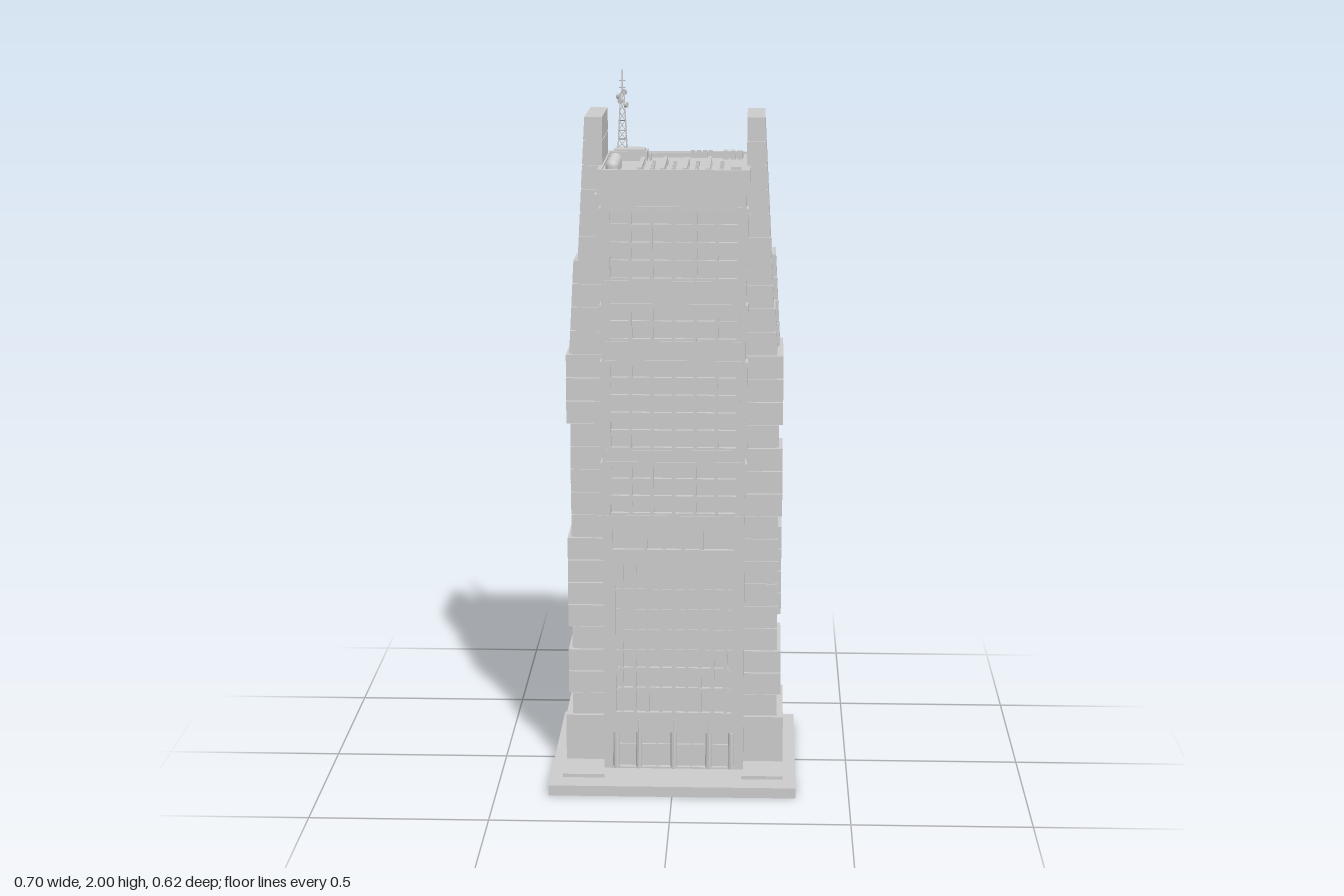
import * as THREE from 'three';

const mat = new THREE.MeshStandardMaterial({ color: 0xcccccc, flatShading: true });
const smooth = new THREE.MeshStandardMaterial({ color: 0xcccccc });

function add(parent, name, geo, material = mat) {
  const m = new THREE.Mesh(geo, material);
  m.name = name;
  parent.add(m);
  return m;
}

// box given by its min and max on each axis
function box(parent, name, x0, x1, y0, y1, z0, z1) {
  const m = add(parent, name, new THREE.BoxGeometry(x1 - x0, y1 - y0, z1 - z0));
  m.position.set((x0 + x1) / 2, (y0 + y1) / 2, (z0 + z1) / 2);
  return m;
}

// straight round bar between two points
function bar(parent, name, a, b, r, sides = 6) {
  const p = new THREE.Vector3(...a), q = new THREE.Vector3(...b);
  const m = add(parent, name, new THREE.CylinderGeometry(r, r, p.distanceTo(q), sides));
  m.position.copy(p).add(q).multiplyScalar(0.5);
  m.quaternion.setFromUnitVectors(new THREE.Vector3(0, 1, 0), q.sub(p).normalize());
  return m;
}

// prism with a sloping outer side: x runs from xi to xb (bottom) or xt (top)
function slab(parent, name, xi, xb, xt, y0, y1, z0, z1) {
  const s = new THREE.Shape([[xi, y0], [xb, y0], [xt, y1], [xi, y1]].map(p => new THREE.Vector2(...p)));
  const m = add(parent, name, new THREE.ExtrudeGeometry(s, { depth: z1 - z0, bevelEnabled: false }));
  m.position.z = z0;
}

function hole(shape, x0, x1, y0, y1) {
  shape.holes.push(new THREE.Path([[x0, y0], [x0, y1], [x1, y1], [x1, y0]].map(p => new THREE.Vector2(...p))));
}

const ZONES = [[1.455, 4], [1.285, 2], [0.975, 5], [0.785, 3]];   // window bands: bottom, rows
const ROW = 0.05;

// facade skin with window openings, standing on z = 0 and facing +z
function facade(name, zones, curtain, louvre, entrance) {
  const g = new THREE.Group();
  g.name = name;
  const s = new THREE.Shape([[-0.2, 0.03], [0.2, 0.03], [0.2, 1.76], [-0.2, 1.76]].map(p => new THREE.Vector2(...p)));
  for (const [y, n] of zones) {
    for (let r = 0; r < n; r++) {
      for (let c = 0; c < 6; c++) {
        const x = (c - 2.5) * 0.06;
        hole(s, x - 0.025, x + 0.025, y + r * ROW + 0.007, y + r * ROW + 0.04);
      }
    }
    // ledges and corner bays framing each band
    box(g, 'windowLedge', -0.19, 0.19, y - 0.006, y, 0.014, 0.018);
    box(g, 'windowLedge', -0.19, 0.19, y + n * ROW, y + n * ROW + 0.006, 0.014, 0.018);
    for (let c = 0; c <= 6; c++) {
      box(g, 'windowPier', (c - 3) * 0.06 - 0.003, (c - 3) * 0.06 + 0.003, y, y + n * ROW, 0.014, 0.017);
    }
    for (const k of [-1, 1]) box(g, 'cornerBay', k * 0.199 - 0.007, k * 0.199 + 0.007, y, y + n * ROW, -0.05, 0.01);
  }
  // tall curtain wall with vertical fins
  const [c0, c1] = curtain;
  hole(s, -0.165, 0.165, c0, c1);
  for (let i = 0; i < 9; i++) {
    const x = (i - 4) * 0.037;
    box(g, 'curtainFin', x - 0.005, x + 0.005, c0, c1, 0, 0.011);
  }
  for (let y = c0 + 0.06; y < c1 - 0.02; y += 0.06) box(g, 'curtainRail', -0.165, 0.165, y, y + 0.006, 0, 0.005);
  // recessed louvre opening
  hole(s, -0.172, 0.172, louvre[0], louvre[1]);
  for (const x of [-0.08, -0.027, 0.027, 0.08]) box(g, 'louvrePost', x - 0.005, x + 0.005, louvre[0], louvre[1], 0, 0.012);
  if (entrance) {
    hole(s, -0.175, 0.175, 0.035, 0.14);
    for (const x of [-0.165, -0.1, 0, 0.1, 0.165]) bar(g, 'entranceColumn', [x, 0.03, 0.008], [x, 0.14, 0.008], 0.009, 12);
    for (const x of [-0.05, 0.05]) box(g, 'doorFrame', x - 0.003, x + 0.003, 0.03, 0.14, 0, 0.008);
    box(g, 'doorHeader', -0.175, 0.175, 0.095, 0.102, 0, 0.008);
    for (const x of [-0.1, 0, 0.1]) bar(g, 'entranceLamp', [x, 0.06, 0.018], [x, 0.18, 0.018], 0.002);
  }
  add(g, 'facadeSkin', new THREE.ExtrudeGeometry(s, { depth: 0.014, bevelEnabled: false }));
  return g;
}

// side tower on +x: stacked courses in two halves that step in and out
function sideTower() {
  const g = new THREE.Group();
  g.name = 'sideTower';
  const H = 0.0667, Y0 = 0.165, MID = -0.049;
  box(g, 'towerPlinth', 0.18, 0.314, 0.03, Y0, -0.193, 0.096);
  box(g, 'towerCore', 0.18, 0.287, Y0, 1.233, -0.176, 0.078);
  slab(g, 'towerCoreUpper', 0.202, 0.282, 0.243, 1.233, 1.895, -0.172, 0.074);
  for (let i = 0; i < 26; i++) {
    const y0 = Y0 + i * H, y1 = y0 + H - 0.003;
    for (const back of [true, false]) {
      let xb, xt, w;
      if (i < 16) {
        const out = i === 1 || i === 2 || i >= 13 || (back ? i >= 4 && i <= 7 : i >= 9 && i <= 11);
        xb = xt = out ? 0.306 : 0.295;
        w = out ? 0.137 : 0.132;
      } else {
        const step = back ? (i < 20 ? 0.012 : 0) : (i < 18 ? 0.004 : 0);
        const f = (i - 16) / 10;
        xb = 0.285 - 0.036 * f + step;
        xt = xb - 0.0036;
        w = 0.128;
      }
      const inner = i < 16 ? 0.19 : 0.2;
      slab(g, 'towerCourse', inner, xb, xt, y0, y1, back ? MID - w : MID, back ? MID : MID + w);
    }
  }
  return g;
}

function rooftop() {
  const g = new THREE.Group();
  g.name = 'rooftop';
  const Y = 1.745;
  // parapet frame with an inner kerb
  const ring = (name, x, z0, z1, t, y0, y1) => {
    box(g, name, -x, x, y0, y1, z1 - t, z1);
    box(g, name, -x, x, y0, y1, z0, z0 + t);
    for (const k of [-1, 1]) box(g, name, k * (x - t / 2) - t / 2, k * (x - t / 2) + t / 2, y0, y1, z0 + t, z1 - t);
  };
  ring('parapet', 0.209, -0.262, 0.168, 0.012, 1.69, 1.762);
  ring('roofKerb', 0.197, -0.25, 0.156, 0.008, Y, 1.756);
  // pipe runs on short supports
  [-0.095, -0.032, 0.03, 0.093].forEach((x, i) => {
    const a = i === 3 ? -0.125 : -0.11, b = i === 3 ? 0.147 : 0.136;
    box(g, 'roofPipe', x - 0.006, x + 0.006, 1.752, 1.764, a, b);
    for (let z = a + 0.02; z < b; z += 0.04) box(g, 'pipeSupport', x - 0.008, x + 0.008, Y, 1.757, z - 0.003, z + 0.003);
  });
  for (const x of [-0.062, -0.003, 0.061, 0.13]) {
    for (const z of [-0.055, 0.027, 0.108]) box(g, 'roofVent', x - 0.005, x + 0.005, Y, 1.76, z - 0.005, z + 0.005);
  }
  // domed tanks
  for (const z of [-0.015, 0.03, 0.075, 0.12]) {
    bar(g, 'tankBody', [-0.17, Y, z], [-0.17, 1.767, z], 0.019, 20);
    add(g, 'tankDome', new THREE.SphereGeometry(0.019, 20, 8, 0, Math.PI * 2, 0, Math.PI / 2), smooth).position.set(-0.17, 1.767, z);
  }
  // air handling units
  for (const x of [0.137, 0.157, 0.177]) box(g, 'airUnit', x - 0.007, x + 0.007, Y, 1.77, -0.231, -0.202);
  for (const z of [0.109, 0.132]) box(g, 'airUnit', 0.157, 0.185, Y, 1.768, z - 0.008, z + 0.008);
  for (const x of [0.042, 0.059, 0.077, 0.094]) box(g, 'smallUnit', x - 0.006, x + 0.006, Y, 1.768, -0.241, -0.233);
  for (const z of [-0.2, -0.185]) box(g, 'smallUnit', -0.083, -0.075, Y, 1.765, z - 0.006, z + 0.006);
  bar(g, 'drainPipe', [-0.183, 1.757, -0.16], [-0.2, 1.757, -0.125], 0.002);
  // equipment house and lattice mast
  box(g, 'equipmentHouse', -0.186, -0.087, Y, 1.772, -0.241, -0.162);
  box(g, 'equipmentHouseRoof', -0.18, -0.093, 1.772, 1.777, -0.235, -0.168);
  const mx = -0.16, mz = -0.214;
  const leg = (k, y) => {
    const r = 0.015 - 0.009 * (y - 1.775) / 0.16, a = Math.PI / 4 + k * Math.PI / 2;
    return [mx + r * Math.cos(a) * 1.2, y, mz + r * Math.sin(a) * 1.2];
  };
  for (let k = 0; k < 4; k++) {
    bar(g, 'mastLeg', leg(k, 1.775), leg(k, 1.935), 0.0016);
    for (let i = 0; i < 6; i++) {
      const y = 1.775 + i * 0.0267;
      bar(g, 'mastBrace', leg(k, y), leg(k + 1, y + 0.0267), 0.001, 4);
      bar(g, 'mastRing', leg(k, y + 0.0267), leg(k + 1, y + 0.0267), 0.001, 4);
    }
    // drum dishes around the upper mast
    const a = k * Math.PI / 2 + 0.4, y = 1.9 + 0.012 * k, c = Math.cos(a), s = Math.sin(a);
    bar(g, 'dish', [mx + 0.008 * c, y, mz + 0.008 * s], [mx + 0.016 * c, y, mz + 0.016 * s], 0.008, 12);
  }
  bar(g, 'mastTip', [mx, 1.93, mz], [mx, 2, mz], 0.002);
  for (const y of [1.95, 1.97]) bar(g, 'mastAerial', [mx - 0.009, y, mz], [mx + 0.009, y, mz], 0.001, 4);
  return g;
}

export function createModel() {
  const model = new THREE.Group();
  model.name = 'skyscraper';
  box(model, 'basePlate', -0.35, 0.35, 0, 0.03, -0.31, 0.31);
  box(model, 'core', -0.2, 0.2, 0.03, 1.745, -0.244, 0.152);

  const front = facade('frontFacade', ZONES, [0.2, 0.64], [0.685, 0.742], true);
  front.position.z = 0.151;
  for (const y of [0.27, 0.33]) box(front, 'curtainBand', -0.158, 0.158, y - 0.004, y + 0.004, 0, 0.012);
  const back = facade('backFacade', [...ZONES, [0.535, 3]], [0.05, 0.51], [0.7, 0.75], false);
  back.position.z = -0.243;
  back.rotation.y = Math.PI;
  model.add(front, back);

  // the second tower is the first turned half a revolution about the core's middle
  const left = sideTower(), right = sideTower();
  right.rotation.y = Math.PI;
  right.position.z = -0.098;
  model.add(left, right, rooftop());

  // curved planters on the forecourt
  for (const k of [-1, 1]) {
    const s = new THREE.Shape();
    s.moveTo(k * 0.313, -0.243);
    s.lineTo(k * 0.313, -0.185);
    s.lineTo(k * 0.287, -0.185);
    s.bezierCurveTo(k * 0.283, -0.215, k * 0.245, -0.24, k * 0.195, -0.24);
    s.lineTo(k * 0.195, -0.243);
    const m = add(model, 'planter', new THREE.ExtrudeGeometry(s, { depth: 0.01, bevelEnabled: false, curveSegments: 16 }));
    m.rotation.x = -Math.PI / 2;
    m.position.y = 0.03;
  }
  // wall-mounted units beside the right tower
  for (let i = 0; i < 4; i++) box(model, 'wallUnit', -0.22, -0.2, 1.675, 1.69, 0.1 + i * 0.01, 0.106 + i * 0.01);
  return model;
}
